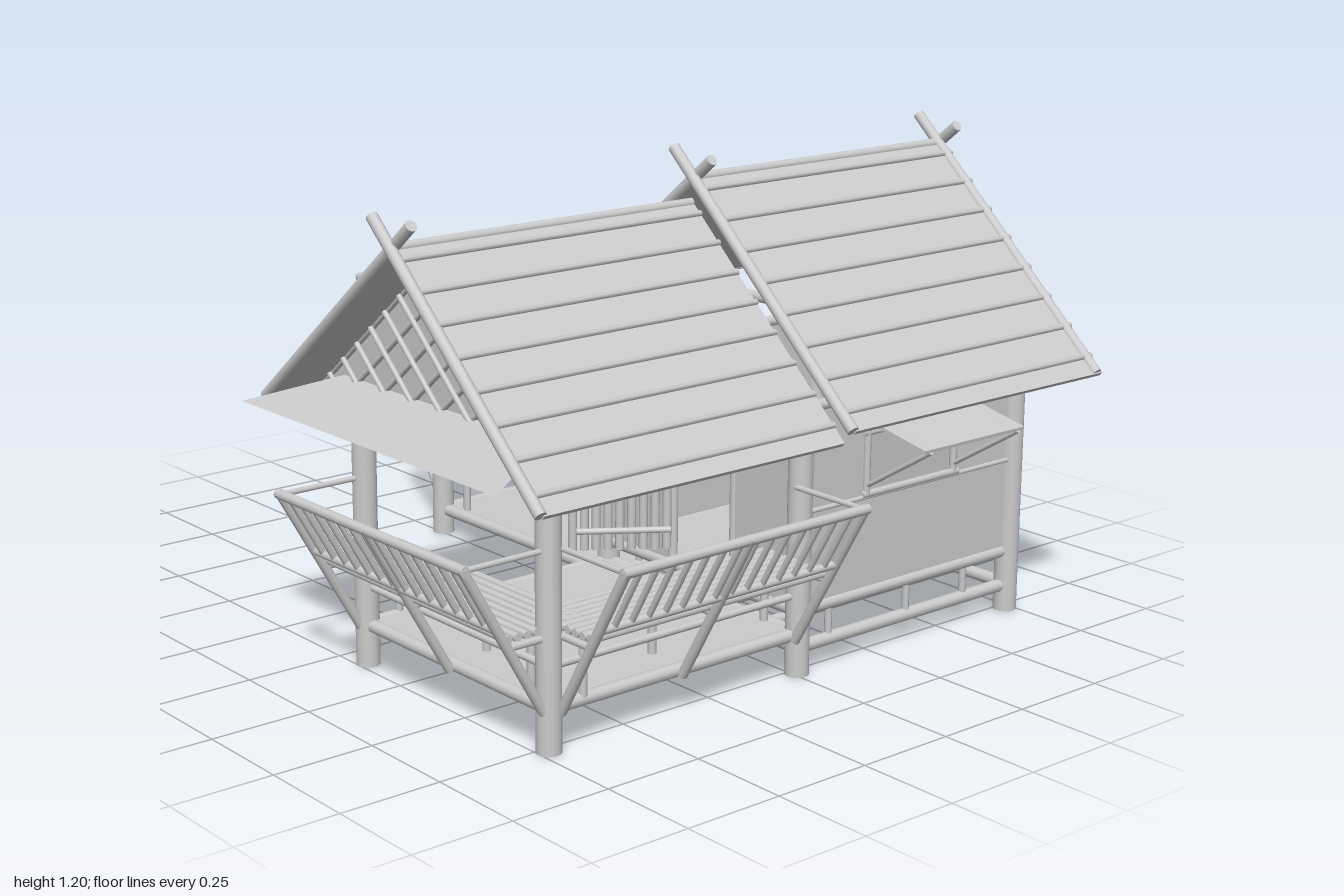
import * as THREE from 'three';

const mat = new THREE.MeshStandardMaterial({ color: 0xcccccc, side: THREE.DoubleSide });
const V = (x, y, z) => new THREE.Vector3(x, y, z);

function add(parent, geo, name) {
  const m = new THREE.Mesh(geo, mat);
  m.name = name;
  parent.add(m);
  return m;
}

function group(parent, name) {
  const g = new THREE.Group();
  g.name = name;
  parent.add(g);
  return g;
}

// Round bamboo pole between two points
function pole(parent, a, b, r, name, sides = 10) {
  const d = b.clone().sub(a);
  const m = add(parent, new THREE.CylinderGeometry(r, r, d.length(), sides), name);
  m.position.copy(a).add(b).multiplyScalar(0.5);
  m.quaternion.setFromUnitVectors(V(0, 1, 0), d.normalize());
  return m;
}

function box(parent, x0, x1, y0, y1, z0, z1, name) {
  const m = add(parent, new THREE.BoxGeometry(x1 - x0, y1 - y0, z1 - z0), name);
  m.position.set((x0 + x1) / 2, (y0 + y1) / 2, (z0 + z1) / 2);
  return m;
}

// Sloping sheet: a line from p to q in the x-y plane, stretched from z0 to z1
function sheet(parent, p, q, z0, z1, t, name) {
  const m = add(parent, new THREE.BoxGeometry(Math.hypot(q[0] - p[0], q[1] - p[1]), t, z1 - z0), name);
  m.position.set((p[0] + q[0]) / 2, (p[1] + q[1]) / 2, (z0 + z1) / 2);
  m.rotation.z = Math.atan2(q[1] - p[1], q[0] - p[0]);
}

// Flat panel from an outline with optional rectangular hole
function panel(parent, pts, depth, name, hole) {
  const s = new THREE.Shape(pts.map(p => new THREE.Vector2(...p)));
  if (hole) s.holes.push(new THREE.Path(hole.map(p => new THREE.Vector2(...p))));
  return add(parent, new THREE.ExtrudeGeometry(s, { depth, bevelEnabled: false }), name);
}
const rect = (x0, x1, y0, y1) => [[x0, y0], [x1, y0], [x1, y1], [x0, y1]];
const mix = (p, q, t) => [p[0] + (q[0] - p[0]) * t, p[1] + (q[1] - p[1]) * t];

// One roof slope with battens laid along z
function slope(parent, low, high, z0, z1, count, name) {
  sheet(parent, low, high, z0, z1, 0.012, name);
  for (let i = 0; i < count; i++) {
    const [x, y] = mix(low, high, (i + 0.5) / count);
    pole(parent, V(x, y + 0.009, z0), V(x, y + 0.009, z1), 0.008, 'roofBatten', 6);
  }
}

// Pair of slopes, ridge pole and crossed barge poles
function gableRoof(parent, L, A, R, z0, z1, ends, name) {
  const g = group(parent, name);
  slope(g, L, A, z0, z1, 8, 'roofSlope');
  slope(g, R, A, z0, z1, 8, 'roofSlope');
  pole(g, V(A[0], A[1], z0), V(A[0], A[1], z1), 0.012, 'ridgePole');
  for (const z of ends) [L, R].forEach((e, i) => {
    const t = mix(e, A, 1.12), dz = i * 0.014 - 0.007;
    pole(g, V(e[0], e[1] + 0.005, z + dz), V(t[0], t[1] + 0.005, z + dz), 0.014, 'bargePole');
  });
}

// Gable panel with crossed lattice bars parallel to both slopes
function gable(parent, L, A, R, xMin, z, side, n) {
  const g = group(parent, 'latticeGable');
  const k = (xMin - L[0]) / (A[0] - L[0]);
  const outline = k > 0 ? [[xMin, L[1]], R, A, mix(L, A, k)] : [L, R, A];
  panel(g, outline, 0.006, 'gablePanel').position.z = z - 0.003;
  const bar = (p, q, off) => {
    if (p[0] > q[0]) [p, q] = [q, p];
    if (q[0] <= xMin) return;
    if (p[0] < xMin) p = mix(p, q, (xMin - p[0]) / (q[0] - p[0]));
    pole(g, V(p[0], p[1], z + side * off), V(q[0], q[1], z + side * off), 0.007, 'latticeBar', 6);
  };
  for (let i = 0; i < n; i++) {
    const t = i / n, base = mix(L, R, t);
    bar(base, mix(A, R, t), 0.007);
    bar(mix(R, L, t), mix(A, L, t), 0.015);
  }
}

// Outward-leaning bench with railing; local x along, local z outward
function bench(parent, x, y, z, turn) {
  const g = group(parent, 'benchRailing');
  g.position.set(x, y, z);
  g.rotation.y = turn;
  const h = 0.345, at = 0.35, lean = t => V(0, t, 0.02 + at * 0.57 * t / h);
  const P = (px, t) => lean(t).setX(px);
  for (const px of [-h, 0, h]) {
    pole(g, P(px, -0.01), P(px, 0.365), 0.012, 'railPost');
    pole(g, V(px, 0.165, -0.1), V(px, 0.165, 0.12), 0.009, 'seatBearer', 8);
    pole(g, V(px, 0, -0.09), V(px, 0.165, -0.09), 0.01, 'seatLeg', 8);
  }
  for (const s of [-h, h]) pole(g, V(s, 0.36, 0), P(s, 0.36), 0.007, 'railTie', 8);
  pole(g, P(-0.355, 0.36), P(0.355, 0.36), 0.012, 'topRail');
  pole(g, P(-0.35, 0.21), P(0.35, 0.21), 0.01, 'lowerRail');
  pole(g, V(-h, 0.095, 0), V(h, 0.095, 0), 0.009, 'footRail');
  for (let i = 0; i < 14; i++) {
    const px = -0.305 + i * 0.61 / 13;
    pole(g, P(px, 0.21), P(px, 0.36), 0.008, 'baluster', 6);
  }
  for (let i = 0; i < 9; i++) {
    const dz = -0.09 + i * 0.025;
    pole(g, V(-h, 0.182, dz), V(h, 0.182, dz), 0.01, 'seatSlat', 8);
  }
}

export function createModel() {
  const root = new THREE.Group();
  root.name = 'bambooHut';
  const X = [-0.625, 0.085, 0.77], Z = [-0.73, -0.01, 0.725];

  // Posts
  for (const [i, j, h] of [[0, 0, 0.69], [0, 1, 0.69], [1, 0, 0.66], [1, 1, 0.66], [1, 2, 0.64], [2, 0, 0.64], [2, 1, 0.64], [2, 2, 0.64]])
    pole(root, V(X[i], 0, Z[j]), V(X[i], h, Z[j]), 0.029, 'post', 16);

  // Floors with edge beams and wall plates for the three bays
  const bays = [['deck', 0, 1, 0, 1, 0.065], ['porch', 1, 2, 1, 2, 0.1], ['room', 1, 2, 0, 1, 0.155]];
  for (const [name, i, k, j, l, y] of bays) {
    const g = group(root, name + 'Floor');
    box(g, X[i], X[k], y, y + 0.012, Z[j], Z[l], 'floorBoard');
    for (const h of name === 'room' ? [0.065, y, 0.64] : [y, 0.64]) {
      const r = h > 0.5 ? 0.014 : 0.016;
      for (const z of [Z[j], Z[l]]) pole(g, V(X[i], h, z), V(X[k], h, z), r, 'beam');
      for (const x of [X[i], X[k]]) pole(g, V(x, h, Z[j]), V(x, h, Z[l]), r, 'beam');
    }
  }
  for (const x of [0.25, 0.43, 0.6]) pole(root, V(x, 0.065, Z[0]), V(x, 0.065, Z[1]), 0.013, 'floorJoist');
  for (const x of [X[1], X[2]]) for (const z of [-0.57, -0.37, -0.11])
    pole(root, V(x, 0.065, z), V(x, 0.155, z), 0.009, 'shortStrut', 8);

  // Room walls: solid back, doorway in front, a window on each side
  const walls = group(root, 'roomWalls');
  box(walls, X[1], X[2], 0.165, 0.63, Z[0] - 0.007, Z[0] + 0.007, 'backWall');
  panel(walls, [[X[1], 0.165], [0.33, 0.165], [0.33, 0.58], [0.55, 0.58], [0.55, 0.165], [X[2], 0.165], [X[2], 0.63], [X[1], 0.63]], 0.014, 'frontWall').position.z = Z[1] - 0.007;
  for (const x of [0.33, 0.55]) pole(walls, V(x, 0.165, Z[1]), V(x, 0.63, Z[1]), 0.012, 'doorJamb');
  for (const [x, s] of [[X[1], -1], [X[2], 1]]) {
    const w = panel(walls, rect(-Z[1], -Z[0], 0.165, 0.63), 0.014, 'sideWall', rect(0.215, 0.51, 0.4, 0.55).reverse());
    w.rotation.y = Math.PI / 2;
    w.position.x = x - 0.007;
    const o = x + s * 0.01, f = x + s * 0.21;
    pole(walls, V(o, 0.393, Z[0]), V(o, 0.393, Z[1]), 0.006, 'wallSeam', 8);
    for (const z of [-0.51, -0.215]) {
      pole(walls, V(o, 0.4, z), V(o, 0.58, z), 0.009, 'windowFrame', 8);
      pole(walls, V(o, 0.585, z), V(f, 0.545, z), 0.008, 'awningEdge', 8);
      pole(walls, V(o, 0.42, z), V(f, 0.545, z), 0.006, 'awningProp', 8);
    }
    for (const y of [0.4, 0.55]) pole(walls, V(o, y, -0.525), V(o, y, -0.2), 0.009, 'windowFrame', 8);
    sheet(walls, [o, 0.588], [f, 0.548], -0.53, -0.195, 0.008, 'windowAwning');
  }

  // Open door of upright canes
  const door = group(root, 'door');
  const D = (t, y, o = 0) => V(0.33 - 0.13 * t + o, y, 0.01 + 0.19 * t);
  for (let i = 0; i < 9; i++) pole(door, D(i / 8, 0.2), D(i / 8, 0.59), 0.011, 'doorCane', 8);
  for (const y of [0.25, 0.4, 0.55]) pole(door, D(0, y, 0.014), D(1, y, 0.014), 0.008, 'doorBattens', 8);

  // Main roofs and lean-to
  const fL = [-0.1, 0.635], fA = [0.43, 1.07], fR = [0.945, 0.6];
  const bL = [0, 0.775], bA = [0.44, 1.13], bR = [0.98, 0.635];
  gableRoof(root, fL, fA, fR, 0.03, 0.875, [0.875], 'porchRoof');
  gableRoof(root, bL, bA, bR, -0.8, 0.03, [0.03, -0.79], 'roomRoof');
  gable(root, [-0.085, 0.64], [0.43, 1.06], [0.89, 0.64], -1, Z[2], 1, 9);
  gable(root, [-0.16, 0.64], [0.44, 1.12], [0.96, 0.64], X[1], Z[0], -1, 10);
  const lean = group(root, 'leanToRoof');
  sheet(lean, [-1, 0.645], [0.01, 0.78], -0.77, 0.0, 0.012, 'leanToSheet');
  for (const x of [-0.83, -0.675, -0.525, -0.39, -0.24, -0.09]) {
    const y = 0.79 + x * 0.134;
    pole(lean, V(x, y, -0.77), V(x, y, 0), 0.009, 'roofBatten', 6);
  }
  for (const z of [-0.77, 0]) for (const dy of [0.008, -0.014])
    pole(lean, V(-1, 0.645 + dy, z), V(0.01, 0.78 + dy, z), 0.012, 'edgePole');

  // Flared skirt roof under the front gable
  const skirt = new THREE.BufferGeometry();
  skirt.setAttribute('position', new THREE.Float32BufferAttribute([0.02, 0.69, 0.73, -0.09, 0.64, 0.94, 0.87, 0.64, 0.94, 0.77, 0.69, 0.73], 3));
  skirt.setIndex([0, 1, 2, 0, 2, 3]);
  skirt.computeVertexNormals();
  add(root, skirt, 'skirtRoof');

  // Benches round the porch and deck
  bench(root, 0.43, 0.1, Z[2], 0);
  bench(root, X[2], 0.1, 0.357, Math.PI / 2);
  bench(root, -0.27, 0.06, Z[0], Math.PI);
  bench(root, X[0], 0.06, -0.37, -Math.PI / 2);

  // Slatted table with corner braces
  const table = group(root, 'table');
  for (const z of [-0.52, -0.24]) {
    for (const [x, s] of [[-0.43, 1], [-0.1, -1]]) {
      pole(table, V(x, 0.07, z), V(x, 0.335, z), 0.009, 'tableLeg', 8);
      pole(table, V(x, 0.25, z), V(x + s * 0.09, 0.325, z), 0.006, 'tableBrace', 8);
    }
    pole(table, V(-0.44, 0.325, z), V(-0.09, 0.325, z), 0.008, 'tableRail', 8);
  }
  for (let i = 0; i < 15; i++) {
    const x = -0.44 + i * 0.025;
    pole(table, V(x, 0.343, -0.55), V(x, 0.343, -0.21), 0.011, 'tableSlat', 8);
  }
  return root;
}
